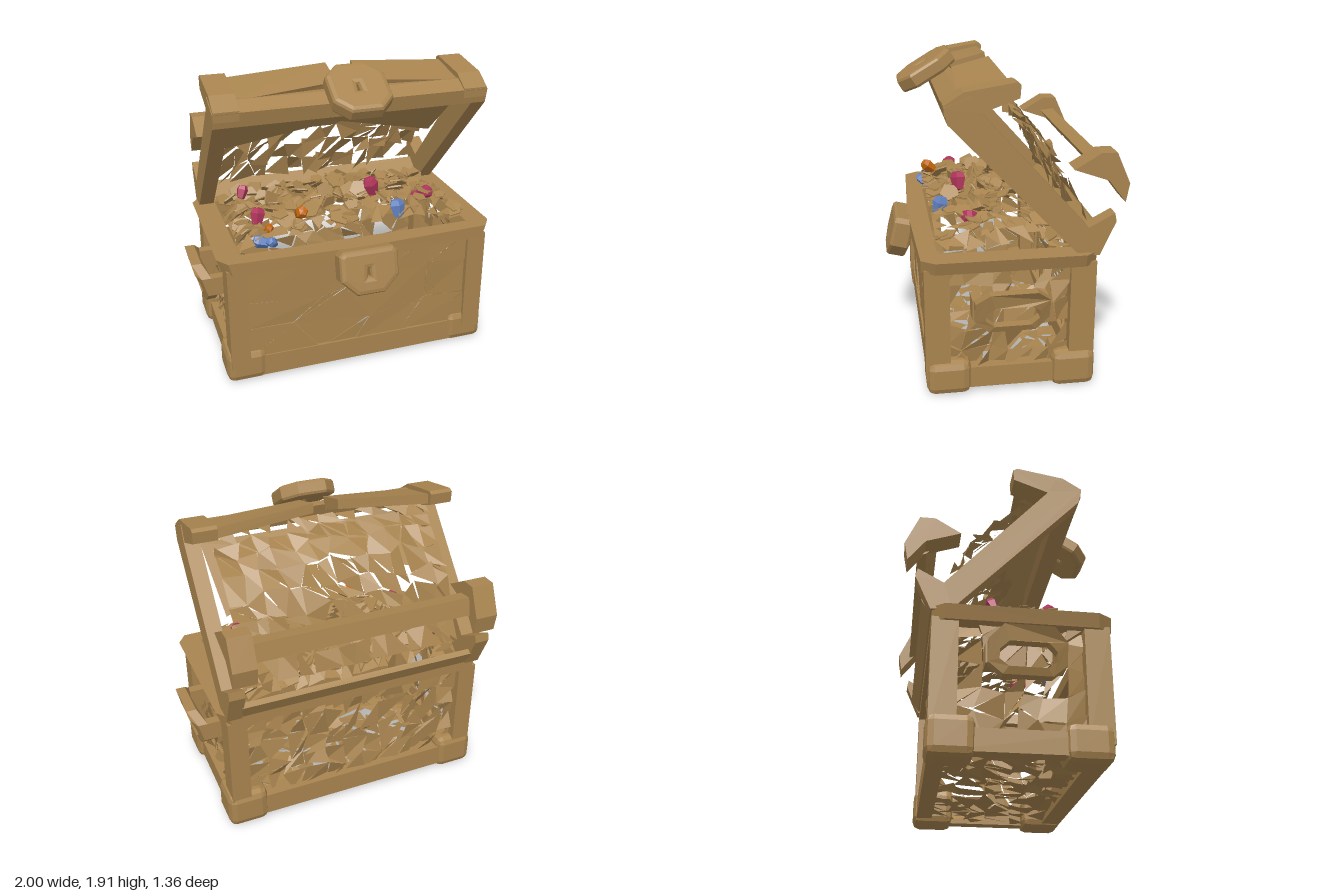
import * as THREE from 'three';
import { RoundedBoxGeometry } from 'three/addons/geometries/RoundedBoxGeometry.js';

const material = (name, color) => {
  const m = new THREE.MeshStandardMaterial({ color, flatShading: true, side: THREE.DoubleSide });
  m.name = name;
  return m;
};

export function createModel() {
  const bronze = material('bronze', 0xa8844f);
  const ruby = material('ruby', 0xb0355b);
  const sapphire = material('sapphire', 0x6080c0);
  const amber = material('amber', 0xc4670c);

  const model = new THREE.Group();
  model.name = 'treasureChest';
  const body = new THREE.Group(); body.name = 'body';
  const lid = new THREE.Group(); lid.name = 'lid';
  const loot = new THREE.Group(); loot.name = 'loot';
  model.add(body, lid, loot);

  let seed = 7;
  const rand = () => (seed = (seed * 16807) % 2147483647) / 2147483647;
  const jitter = (a) => (rand() - 0.5) * 2 * a;

  const add = (parent, name, geometry, mat = bronze) => {
    const mesh = new THREE.Mesh(geometry, mat);
    mesh.name = name;
    parent.add(mesh);
    return mesh;
  };
  const points = (list) => list.map((q) => new THREE.Vector2(...q));
  // Box given by its limits on each axis
  const box = (parent, name, [x0, x1], [y0, y1], [z0, z1], r = 0) => {
    const size = [x1 - x0, y1 - y0, z1 - z0];
    const g = r ? new RoundedBoxGeometry(...size, 1, r) : new THREE.BoxGeometry(...size);
    g.translate((x0 + x1) / 2, (y0 + y1) / 2, (z0 + z1) / 2);
    return add(parent, name, g);
  };
  // Side profile of [z, y] points, extruded from x0 to x1
  const prism = (outline, x0, x1, hole) => {
    const flip = (p) => points(p.map(([z, y]) => [-z, y]));
    const shape = new THREE.Shape(flip(outline));
    if (hole) shape.holes.push(new THREE.Path(flip(hole)));
    return new THREE.ExtrudeGeometry(shape, { depth: x1 - x0, bevelEnabled: false })
      .rotateY(Math.PI / 2).translate(x0, 0, 0);
  };
  // Torn sheet of loose triangles facing +z; gap is the share left out
  const sheet = (w, h, nx, ny, amount, gap) => {
    const grid = new THREE.PlaneGeometry(w, h, nx, ny);
    const p = grid.attributes.position;
    for (let i = 0; i < p.count; i++) {
      const x = p.getX(i), y = p.getY(i);
      if (Math.abs(x) < w / 2 - 0.001) p.setX(i, x + jitter(w / nx / 3));
      if (Math.abs(y) < h / 2 - 0.001) p.setY(i, y + jitter(h / ny / 3));
    }
    const all = grid.toNonIndexed().attributes.position;
    const kept = [];
    for (let i = 0; i < all.count; i += 3) {
      if (rand() < gap) continue;
      for (let k = i; k < i + 3; k++) kept.push(all.getX(k), all.getY(k), jitter(amount));
    }
    const g = new THREE.BufferGeometry();
    g.setAttribute('position', new THREE.Float32BufferAttribute(kept, 3));
    g.computeVertexNormals();
    return g;
  };
  // Moves every vertex of a geometry by a rule
  const warp = (g, rule) => {
    const p = g.attributes.position;
    for (let i = 0; i < p.count; i++) p.setXYZ(i, ...rule(p.getX(i), p.getY(i), p.getZ(i)));
    g.computeVertexNormals();
    return g;
  };
  // Chamfered plate with a keyhole, centred on its origin
  const lockPlate = (w, h, d, top, bottom) => {
    const a = w / 2 - 0.03, b = h / 2 - 0.03;
    const s = new THREE.Shape(points([[-a + bottom, -b], [a - bottom, -b], [a, -b + bottom], [a, b - top],
      [a - top, b], [-a + top, b], [-a, b - top], [-a, -b + bottom]]));
    s.holes.push(new THREE.Path(points([[-0.045, -0.06], [-0.035, 0.05], [0.03, 0.05], [0.035, -0.06]])));
    return new THREE.ExtrudeGeometry(s, {
      depth: d - 0.04, bevelThickness: 0.02, bevelSize: 0.03, bevelSegments: 2,
    }).translate(0, 0, -d / 2 + 0.02);
  };

  // Frame: posts, corner boots and bottom rails, mirrored left and right
  for (const s of [1, -1]) {
    const xr = (a, b) => (s > 0 ? [a, b] : [-b, -a]);
    const side = s > 0 ? 'left' : 'right';
    box(body, side + 'FrontPost', xr(0.72, 0.84), [0.1, 0.79], [0.34, 0.485]);
    box(body, side + 'BackPost', xr(0.72, 0.84), [0.1, 0.79], [-0.51, -0.36]);
    box(body, side + 'FrontBoot', xr(0.61, 0.865), [0, 0.21], [0.22, 0.48], 0.045);
    box(body, side + 'BackBoot', xr(0.61, 0.865), [0, 0.23], [-0.52, -0.26], 0.045);
    box(body, side + 'BottomRail', xr(0.74, 0.835), [0.03, 0.16], [-0.4, 0.4]);
    const panel = add(body, side + 'Panel', sheet(0.74, 0.66, 6, 5, 0.035, 0.15).rotateY(s * Math.PI / 2));
    panel.position.set(s * 0.785, 0.46, -0.01);

    // Carrying handle: octagonal ring leaning outwards and bowed along its length
    const handle = new THREE.Group();
    handle.name = side + 'Handle';
    handle.rotation.y = s > 0 ? 0 : Math.PI;
    body.add(handle);
    const ring = prism(
      [[-0.22, 0.5], [-0.14, 0.43], [0.13, 0.43], [0.21, 0.5], [0.21, 0.62], [0.13, 0.69], [-0.14, 0.69], [-0.22, 0.62]],
      0.88, 0.94,
      [[-0.16, 0.51], [-0.11, 0.47], [0.1, 0.47], [0.15, 0.51], [0.15, 0.56], [0.1, 0.6], [-0.11, 0.6], [-0.16, 0.56]]);
    add(handle, 'handleRing', warp(ring, (x, y, z) => [x + (y - 0.43) * 0.28 - 0.9 * z * z, y, z]));
    for (const z of [-0.19, 0.19]) box(handle, 'handleMount', [0.78, 0.9], [0.5, 0.62], [z - 0.03, z + 0.03]);
  }

  // Rim: one ring with clipped corners, slightly narrower at its foot
  const rim = new THREE.Shape(points([[-0.885, -0.42], [-0.83, -0.5], [0, -0.53], [0.83, -0.5], [0.885, -0.42],
    [0.885, 0.44], [0.83, 0.51], [-0.83, 0.51], [-0.885, 0.44]]));
  rim.holes.push(new THREE.Path(points([[-0.74, -0.4], [0.74, -0.4], [0.74, 0.41], [-0.74, 0.41]])));
  add(body, 'rim', warp(new THREE.ExtrudeGeometry(rim, { depth: 0.08, bevelEnabled: false })
    .rotateX(-Math.PI / 2).translate(0, 0.77, 0), (x, y, z) => [y < 0.8 ? x * 0.97 : x, y, z]));

  // Front, back and floor
  box(body, 'frontBottomRail', [-0.72, 0.72], [0.02, 0.16], [0.35, 0.47]);
  box(body, 'backBottomRail', [-0.72, 0.72], [0.03, 0.17], [-0.5, -0.4]);
  add(body, 'frontPanel', sheet(1.48, 0.66, 4, 3, 0.008, 0)).position.set(0, 0.46, 0.455);
  add(body, 'backPanel', sheet(1.46, 0.64, 11, 5, 0.035, 0.15).rotateY(Math.PI)).position.set(0, 0.46, -0.45);
  add(body, 'floor', sheet(1.5, 0.8, 11, 6, 0.03, 0.15).rotateX(Math.PI / 2)).position.set(0, 0.06, -0.02);
  const lock = add(body, 'lock', lockPlate(0.37, 0.28, 0.13, 0.01, 0.08));
  lock.position.set(-0.005, 0.72, 0.585);
  lock.rotation.x = -0.25;

  // Lid: side arms, bars and corner caps
  const arm = [[0.36, 1.71], [0.34, 1.62], [-0.4, 0.84], [-0.52, 0.83], [-0.61, 1.03],
    [-0.6, 1.08], [-0.45, 1.0], [0.16, 1.68], [0.2, 1.77]];
  const lipRail = [[0.34, 1.62], [0.36, 1.71], [0.27, 1.76], [0.2, 1.76], [0.24, 1.65]];
  const topBar = [[0.27, 1.75], [-0.02, 1.81], [-0.03, 1.75], [0.23, 1.67]];
  const frontCap = [[0.355, 1.66], [0.36, 1.72], [0.25, 1.79], [-0.03, 1.835], [-0.055, 1.82], [-0.05, 1.75], [0.2, 1.66]];
  const backCap = [[-0.36, 1.34], [-0.51, 1.43], [-0.6, 1.43], [-0.68, 1.25], [-0.66, 1.14], [-0.56, 1.27]];
  const backBar = [[-0.49, 1.34], [-0.58, 1.35], [-0.605, 1.24], [-0.55, 1.26]];
  const hingeRail = [[-0.42, 0.86], [-0.52, 0.84], [-0.57, 0.93], [-0.54, 0.95]];
  for (const s of [1, -1]) {
    const side = s > 0 ? 'left' : 'right';
    const mirrored = (name, outline, a, b) =>
      add(lid, side + name, s > 0 ? prism(outline, a, b) : prism(outline, -b, -a));
    mirrored('Arm', arm, 0.75, 0.845);
    mirrored('FrontCap', frontCap, 0.69, 0.84);
    mirrored('BackCap', backCap, 0.69, 0.835);
    // Each half of the top bar narrows and rises towards the middle
    const half = mirrored('TopBar', topBar, 0.08, 0.72);
    warp(half.geometry, (x, y, z) => {
      const t = (0.72 - Math.abs(x)) / 0.64;
      return [x, y + 0.05 * t, z + (0.11 - z) * 0.22 * t];
    });
  }
  add(lid, 'lipRail', prism(lipRail, -0.8, 0.8));
  add(lid, 'backBar', prism(backBar, -0.72, 0.72));
  add(lid, 'hingeRail', prism(hingeRail, -0.76, 0.76));

  // Outer lid panel follows a curve from the top bar down to the hinge
  const curve = new THREE.CatmullRomCurve3([[1.74, 0.11], [1.63, -0.05], [1.43, -0.24], [1.23, -0.35], [0.98, -0.46]]
    .map(([y, z]) => new THREE.Vector3(0, y, z)));
  add(lid, 'lidPanel', warp(sheet(1.42, 1, 12, 8, 0.025, 0.12), (x, y, z) => {
    const q = curve.getPoint(0.5 - y);
    return [x, q.y + z, q.z - z];
  }));
  // Flat inner lining with a notched lower edge
  const lining = new THREE.Shape(points([[-0.74, 1.64], [-0.7, 1.33], [-0.03, 1.5], [0.7, 1.3], [0.74, 1.64]]));
  add(lid, 'lidLining', warp(new THREE.ShapeGeometry(lining), (x, y) => [x, y, 0.2 - (1.64 - y) * 1.02]));
  const hasp = add(lid, 'hasp', lockPlate(0.36, 0.37, 0.1, 0.07, 0.07));
  hasp.position.set(-0.005, 1.78, 0.39);
  hasp.rotation.x = -1.03;

  // Mound of coins
  const moundY = (x, z) => 0.85 + 0.2 * (1 - (x / 0.8) ** 4) * Math.max(0, 1 - ((z - 0.07) / 0.52) ** 2);
  add(loot, 'coinMound', warp(sheet(1.48, 0.8, 16, 9, 0.025, 0.25).rotateX(-Math.PI / 2),
    (x, y, z) => [x, moundY(x, z) - 0.02 + y, z]));
  const coin = new THREE.CylinderGeometry(0.06, 0.06, 0.008, 5);
  for (let i = 0; i < 130; i++) {
    const x = jitter(0.68), z = jitter(0.37);
    const c = add(loot, 'coin', coin);
    c.position.set(x, moundY(x, z) + jitter(0.025), z);
    c.rotation.set(jitter(0.8), jitter(3), jitter(0.8));
    c.scale.setScalar(0.6 + rand() * 0.7);
  }

  // Gems: material, position, size, lean
  const gem = new THREE.LatheGeometry(points([[0, -1], [0.55, -0.9], [0.85, 0.35], [0.6, 0.9], [0, 1]]), 5);
  [
    [ruby, 0.155, 1.095, 0.21, 0.06, 0.3], [ruby, -0.58, 0.99, 0.2, 0.055, -0.4],
    [ruby, 0.54, 0.99, 0.18, 0.055, 1.2], [ruby, 0.46, 0.975, 0.2, 0.04, 0.8],
    [ruby, -0.6, 1.01, -0.15, 0.045, 0.5],
    [sapphire, 0.285, 0.98, 0.34, 0.06, 0.3], [sapphire, -0.6, 0.9, 0.37, 0.05, 1.3],
    [sapphire, -0.54, 0.9, 0.4, 0.04, 0.9],
    [amber, -0.35, 1.05, 0.36, 0.05, 0.9], [amber, -0.54, 0.94, 0.3, 0.035, 0.6],
  ].forEach(([mat, x, y, z, r, lean], i) => {
    const g = add(loot, mat.name + 'Gem', gem, mat);
    g.position.set(x, y, z);
    g.rotation.set(0, i, lean);
    g.scale.setScalar(r);
  });

  return model;
}
